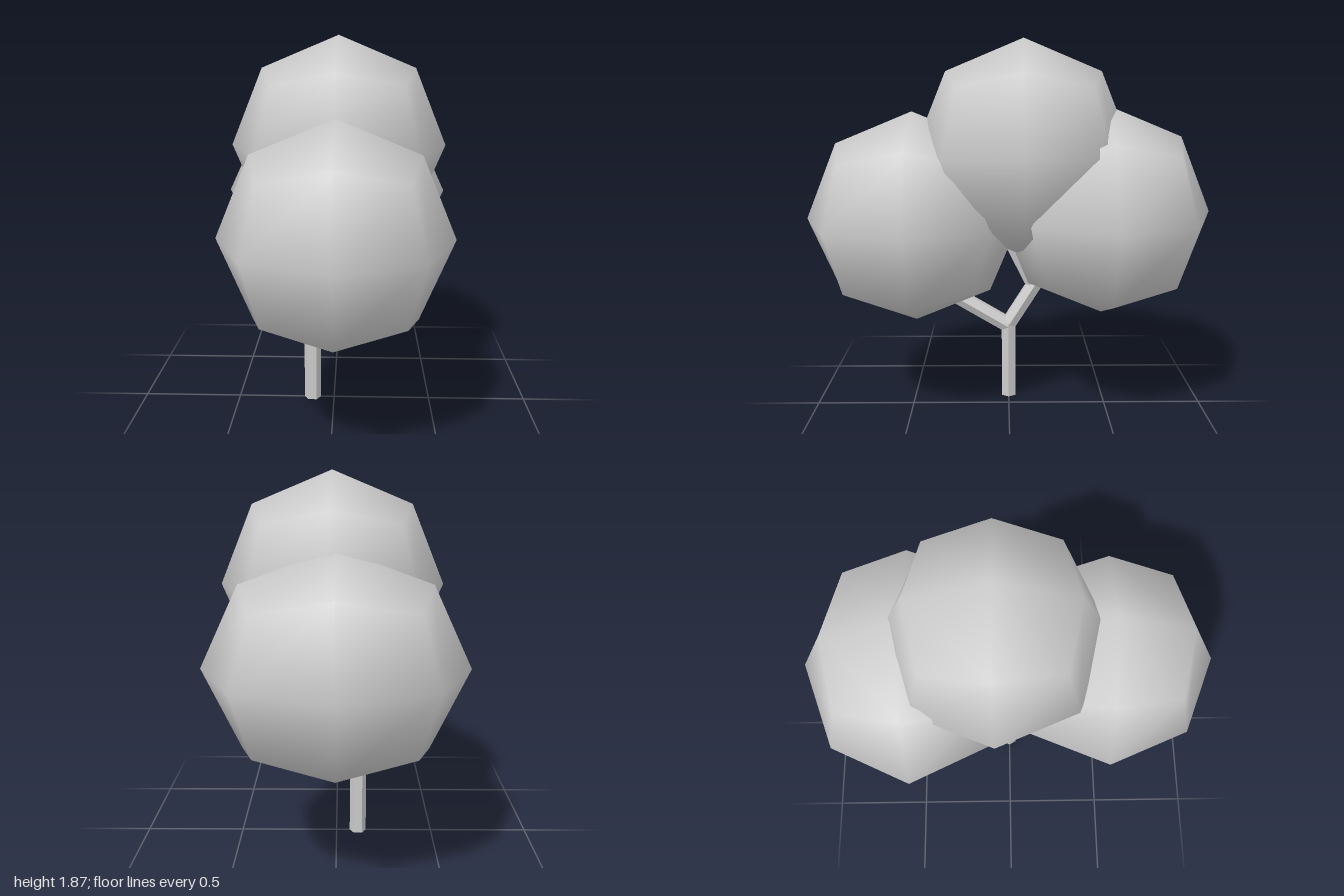
import * as THREE from 'three';

const TRUNK_X = -0.1125;

// Low-poly ball: a cube with each face split 2 x 2, pushed out to a sphere, smooth normals
function ballGeometry() {
  const geo = new THREE.BoxGeometry(1, 1, 1, 2, 2, 2);
  const pos = geo.attributes.position;
  const v = new THREE.Vector3();
  for (let i = 0; i < pos.count; i++) {
    v.fromBufferAttribute(pos, i).normalize();
    pos.setXYZ(i, v.x, v.y, v.z);
    geo.attributes.normal.setXYZ(i, v.x, v.y, v.z);
  }
  return geo;
}

// Six-sided limb in the plane of the trunk, between two [z, y] points
function limb(name, [z0, y0], [z1, y1], radius, material) {
  const a = new THREE.Vector3(TRUNK_X, y0, z0);
  const b = new THREE.Vector3(TRUNK_X, y1, z1);
  const geo = new THREE.CylinderGeometry(radius, radius, a.distanceTo(b), 6, 1, false, Math.PI / 2);
  const mesh = new THREE.Mesh(geo, material);
  mesh.position.copy(a).add(b).multiplyScalar(0.5);
  mesh.rotation.x = Math.atan2(z1 - z0, y1 - y0);
  mesh.name = name;
  return mesh;
}

export function createModel() {
  const tree = new THREE.Group();
  tree.name = 'tree';
  const wood = new THREE.MeshStandardMaterial({ color: 0xcccccc, flatShading: true });
  const leaves = new THREE.MeshStandardMaterial({ color: 0xcccccc });

  // Trunk and its forking branches
  tree.add(
    limb('trunk', [0, 0], [0, 0.41], 0.0425, wood),
    limb('frontBranch', [0, 0.39], [0.45, 0.66], 0.0425, wood),
    limb('backBranch', [0, 0.4], [-0.28, 0.85], 0.0425, wood),
    limb('topBranch', [-0.13, 0.6], [0.02, 0.9], 0.035, wood)
  );

  // Foliage: centre and radii of each clump
  const ball = ballGeometry();
  const clumps = [
    ['frontFoliage', [0.02, 0.995, 0.47], [0.53, 0.525, 0.53]],
    ['topFoliage', [0.02, 1.335, -0.07], [0.53, 0.53, 0.53]],
    ['backFoliage', [0, 1.025, -0.472], [0.595, 0.525, 0.528]]
  ];
  for (const [name, centre, radii] of clumps) {
    const clump = new THREE.Mesh(ball, leaves);
    clump.position.set(...centre);
    clump.scale.set(...radii);
    clump.name = name;
    tree.add(clump);
  }
  return tree;
}
